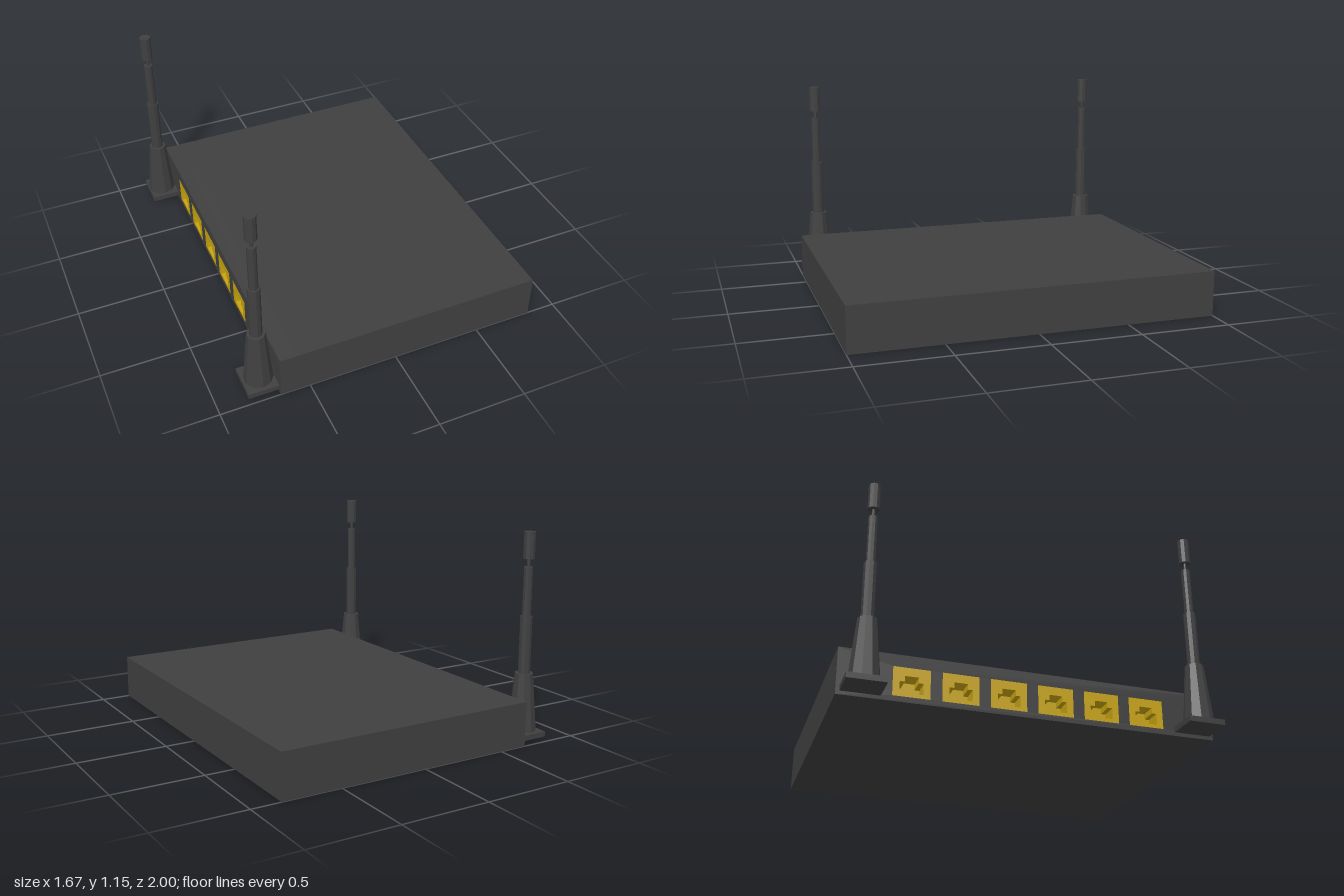
import * as THREE from 'three';

const dark = new THREE.MeshStandardMaterial({ color: 0x404040, flatShading: true });
const yellow = new THREE.MeshStandardMaterial({ color: 0xc9a510, flatShading: true });

const SIDE = -0.665, DEPTH = 0.1;               // port side plane, socket depth
const PORT = { w: 0.19, y0: 0.03, y1: 0.185 };  // socket outline

function add(parent, name, geometry, material, x = 0, y = 0, z = 0) {
  const mesh = new THREE.Mesh(geometry, material);
  mesh.name = name;
  mesh.position.set(x, y, z);
  parent.add(mesh);
  return mesh;
}

function outline(points, Type = THREE.Shape) {
  return new Type(points.map(([a, b]) => new THREE.Vector2(a, b)));
}

const rect = (a0, b0, a1, b1) => [[a0, b0], [a1, b0], [a1, b1], [a0, b1]];

// Extrudes a (z, y) shape inwards from the port side
function sideExtrude(shape) {
  const geometry = new THREE.ExtrudeGeometry(shape, { depth: DEPTH, bevelEnabled: false });
  return geometry.translate(0, 0, -DEPTH).rotateY(-Math.PI / 2);
}

// Socket with a stepped opening and a closed back
function createPort(z) {
  const port = new THREE.Group();
  port.name = 'networkPort';
  port.position.set(SIDE, 0, z);
  const face = outline(rect(-PORT.w / 2, PORT.y0, PORT.w / 2, PORT.y1));
  face.holes.push(outline([
    [-0.06, 0.05], [0.06, 0.05], [0.06, 0.11], [0.035, 0.11],
    [0.035, 0.14], [-0.035, 0.14], [-0.035, 0.11], [-0.06, 0.11],
  ], THREE.Path));
  add(port, 'socket', sideExtrude(face), yellow);
  add(port, 'socketBack', new THREE.BoxGeometry(0.01, 0.11, 0.15), yellow, DEPTH - 0.006, 0.095, 0);
  return port;
}

// Stepped antenna on a square foot
function createAntenna(z) {
  const antenna = new THREE.Group();
  antenna.name = 'antenna';
  add(antenna, 'foot', new THREE.BoxGeometry(0.2, 0.03, 0.2), dark, z > 0 ? -0.735 : -0.727, 0.035, z);
  const stages = [ // name, bottom radius, top radius, bottom, top
    ['taperedBase', 0.08, 0.05, 0.05, 0.375],
    ['lowerTube', 0.034, 0.034, 0.375, 0.69],
    ['upperTube', 0.025, 0.025, 0.69, 0.96],
    ['neck', 0.009, 0.009, 0.96, 1.005],
    ['tip', 0.032, 0.032, 1.005, 1.15],
  ];
  for (const [name, r0, r1, y0, y1] of stages) {
    add(antenna, name, new THREE.CylinderGeometry(r1, r0, y1 - y0, 10), dark, -0.745, (y0 + y1) / 2, z);
  }
  return antenna;
}

export function createModel() {
  const model = new THREE.Group();
  model.name = 'router';

  // Case, with a cut-out wall on the port side
  const inner = SIDE + DEPTH;
  add(model, 'case', new THREE.BoxGeometry(0.835 - inner, 0.25, 2), dark, (0.835 + inner) / 2, 0.125, 0);
  const wall = outline(rect(-1, 0, 1, 0.25));
  const centres = Array.from({ length: 6 }, (_, i) => -0.63 + i * 0.25);
  for (const z of centres) {
    wall.holes.push(outline(rect(z - PORT.w / 2, PORT.y0, z + PORT.w / 2, PORT.y1), THREE.Path));
  }
  add(model, 'portWall', sideExtrude(wall), dark, SIDE);

  for (const z of centres) model.add(createPort(z));
  for (const z of [-0.88, 0.88]) model.add(createAntenna(z));
  return model;
}
